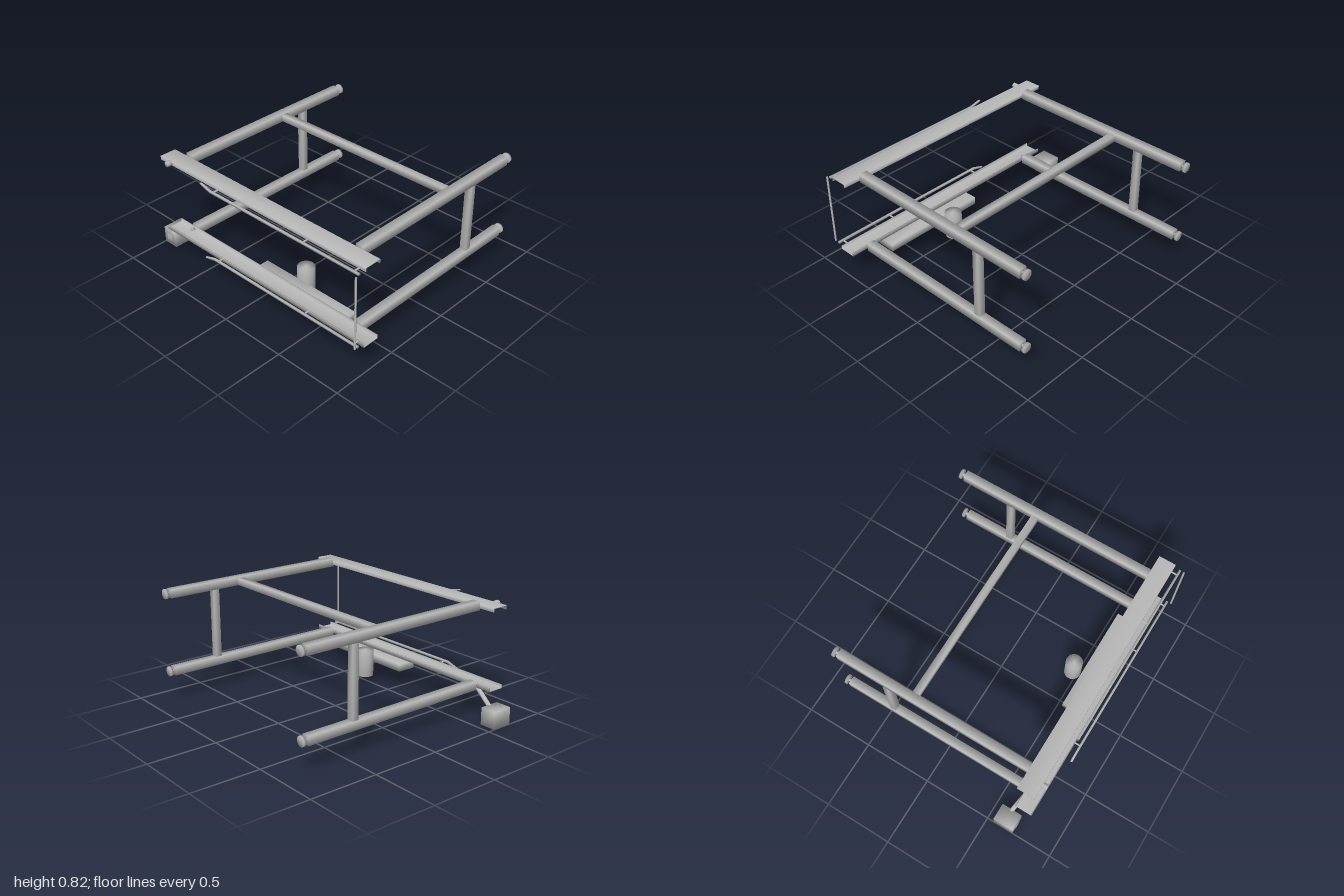
import * as THREE from 'three';
import { mergeVertices } from 'three/addons/utils/BufferGeometryUtils.js';

export function createModel() {
  const model = new THREE.Group();
  const steel = new THREE.MeshStandardMaterial({ color: 0xb8b8b8 });
  steel.name = 'light grey steel';

  // share corners between faces so the shading runs softly over the edges
  const soften = (geometry) => {
    geometry.deleteAttribute('normal');
    geometry.deleteAttribute('uv');
    const merged = mergeVertices(geometry, 1e-5);
    merged.computeVertexNormals();
    return merged;
  };
  const add = (parent, name, geometry, x = 0, y = 0, z = 0) => {
    const mesh = new THREE.Mesh(soften(geometry), steel);
    mesh.name = name;
    mesh.position.set(x, y, z);
    parent.add(mesh);
    return mesh;
  };
  // box given by its minimum and maximum corners
  const box = (parent, name, a, b) => add(parent, name,
    new THREE.BoxGeometry(b[0] - a[0], b[1] - a[1], b[2] - a[2]),
    (a[0] + b[0]) / 2, (a[1] + b[1]) / 2, (a[2] + b[2]) / 2);
  // round bar between two points
  const rod = (parent, name, a, b, r, sides = 32) => {
    const from = new THREE.Vector3(...a), to = new THREE.Vector3(...b);
    const dir = to.clone().sub(from);
    const mesh = add(parent, name, new THREE.CylinderGeometry(r, r, dir.length(), sides));
    mesh.position.copy(from).add(to).multiplyScalar(0.5);
    mesh.quaternion.setFromUnitVectors(new THREE.Vector3(0, 1, 0), dir.normalize());
    return mesh;
  };

  const armX = [-0.708, 0.843];
  const mid = 0.5;

  // upper (s = 1) and lower (s = -1) level, mirrored about the middle height
  for (const s of [1, -1]) {
    const level = new THREE.Group();
    level.name = s > 0 ? 'upperLevel' : 'lowerLevel';
    model.add(level);
    const y = (h) => mid + s * h;

    // long square arms with adjustable feet at the back
    for (const x of armX) {
      box(level, 'arm', [x - 0.03, y(0.286) - 0.031, -0.808], [x + 0.03, y(0.286) + 0.031, 0.642]);
      rod(level, 'footStem', [x, y(0.286), -0.805], [x, y(0.286), -0.832], 0.01, 16);
      rod(level, 'footPad', [x, y(0.286), -0.829], [x, y(0.286), -0.845], 0.036);
    }

    // channel rail: web on the outside, legs pointing to the middle
    const section = [[0.641, 0.268], [0.646, 0.268], [0.646, 0.291], [0.761, 0.291],
      [0.761, 0.268], [0.766, 0.268], [0.766, 0.296], [0.641, 0.296]];
    const shape = new THREE.Shape(section.map(([z, h]) => new THREE.Vector2(-z, y(h))));
    const rail = new THREE.ExtrudeGeometry(shape, { depth: 1.862, bevelEnabled: false });
    rail.rotateY(Math.PI / 2);
    add(level, 'rail', rail, -0.862, 0, 0);

    // guide strip in front of the rail, with a bent lead-in end
    const strip = new THREE.Shape([[-0.4, 0.292], [-0.305, 0.262], [0.99, 0.262], [0.99, 0.277],
      [-0.3, 0.277], [-0.39, 0.297]].map(([x, h]) => new THREE.Vector2(x, y(h))));
    add(level, 'guideStrip',
      new THREE.ExtrudeGeometry(strip, { depth: 0.015, bevelEnabled: false }), 0, 0, 0.801);
    for (const x of [-0.275, 0.535, 0.95]) {
      rod(level, 'guidePin', [x, y(0.272), 0.763], [x, y(0.272), 0.806], 0.006, 12);
    }
  }

  // upright rod in front of the guide strips
  rod(model, 'uprightRod', [0.991, 0.236, 0.838], [0.991, 0.764, 0.838], 0.007, 16);

  // square frame posts and cross bar
  for (const x of armX) box(model, 'post', [x - 0.025, 0.245, -0.46], [x + 0.025, 0.755, -0.414]);
  box(model, 'crossBar', [armX[0] + 0.03, 0.758, -0.253], [armX[1] - 0.03, 0.806, -0.204]);

  // sensor on the upper rail
  rod(model, 'sensor', [-0.756, 0.784, 0.764], [-0.756, 0.784, 0.802], 0.019, 20);

  // drive housing and motor under the lower rail
  box(model, 'driveHousing', [-0.07, 0.148, 0.547], [0.732, 0.203, 0.69]);
  rod(model, 'motor', [0.222, 0.062, 0.47], [0.222, 0.262, 0.47], 0.061, 40);

  // control box on a slanted bracket
  box(model, 'controlBox', [-1, 0, 0.55], [-0.88, 0.125, 0.702]);
  box(model, 'controlBoxLatch', [-0.965, 0.04, 0.7], [-0.915, 0.09, 0.708]);
  rod(model, 'bracket', [-0.9, 0.103, 0.622], [-0.71, 0.215, 0.665], 0.016, 20);

  return model;
}
